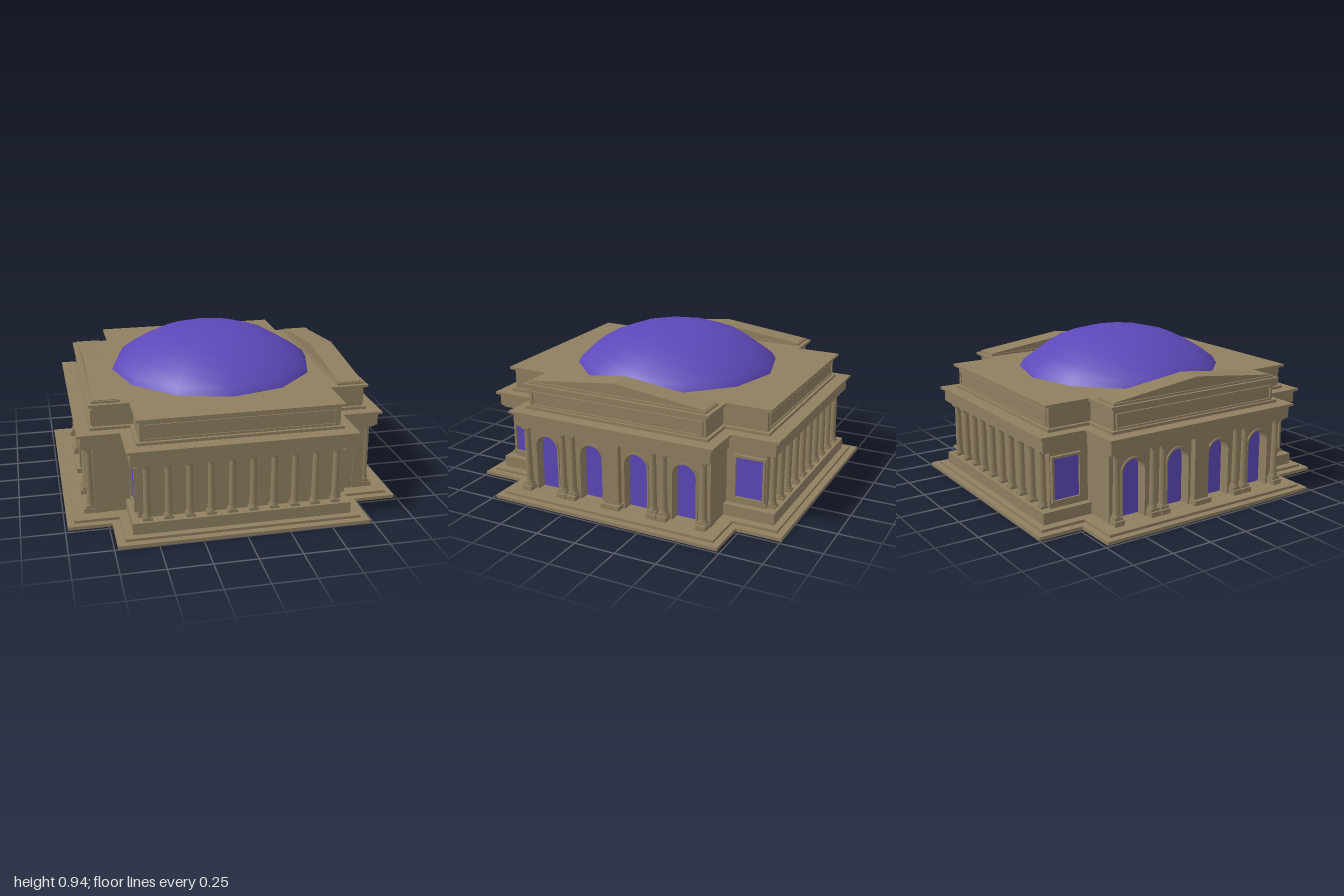
import * as THREE from 'three';

const stone = new THREE.MeshStandardMaterial({ color: 0x8f7f60 });
stone.name = 'stone';
const violet = new THREE.MeshStandardMaterial({ color: 0x5c48b8 });
violet.name = 'violet';

function add(parent, name, geometry, material = stone, x = 0, y = 0, z = 0) {
  const mesh = new THREE.Mesh(geometry, material);
  mesh.name = name;
  mesh.position.set(x, y, z);
  parent.add(mesh);
  return mesh;
}

// Box given by its centre in x and z and its bottom and top heights
function block(parent, name, w, d, y0, y1, x, z, material = stone) {
  return add(parent, name, new THREE.BoxGeometry(w, y1 - y0, d), material, x, (y0 + y1) / 2, z);
}

// Cross-shaped slab: the x wing reaches X by wz, the z wing reaches Z by wx
function crossSlab(parent, name, X, wz, wx, Z, y0, y1) {
  const q = [[X, -wz], [X, wz], [wx, wz], [wx, Z], [-wx, Z], [-wx, wz],
    [-X, wz], [-X, -wz], [-wx, -wz], [-wx, -Z], [wx, -Z], [wx, -wz]];
  const shape = new THREE.Shape(q.map(([x, z]) => new THREE.Vector2(x, z)));
  const g = new THREE.ExtrudeGeometry(shape, { depth: y1 - y0, bevelEnabled: false });
  g.rotateX(-Math.PI / 2);
  return add(parent, name, g, stone, 0, y0, 0);
}

// Tapered round column with square plinth and capital
function column(parent, x, z, y0, y1) {
  const g = new THREE.Group();
  g.name = 'column';
  parent.add(g);
  block(g, 'plinth', 0.054, 0.054, y0, y0 + 0.016, x, z);
  const h = y1 - y0;
  const profile = [[0.026, 0.016], [0.026, 0.028], [0.021, 0.036], [0.018, h - 0.03], [0.025, h - 0.014]]
    .map(([r, y]) => new THREE.Vector2(r, y));
  add(g, 'shaft', new THREE.LatheGeometry(profile, 12), stone, x, y0, z);
  block(g, 'capital', 0.054, 0.054, y1 - 0.014, y1, x, z);
}

function rectPath(w, y0, y1, Type) {
  return new Type([[-w, y0], [w, y0], [w, y1], [-w, y1]].map(([x, y]) => new THREE.Vector2(x, y)));
}

function archPath(x, r, y0, top, Type) {
  const p = new Type();
  p.moveTo(x - r, y0);
  p.lineTo(x + r, y0);
  p.lineTo(x + r, top - r);
  p.absarc(x, top - r, r, 0, Math.PI, false);
  p.lineTo(x - r, y0);
  return p;
}

function extrude(shape, depth) {
  return new THREE.ExtrudeGeometry(shape, { depth, bevelEnabled: false, curveSegments: 12 });
}

// Rectangular frame facing +z
function frame(parent, name, w, y0, y1, border, x, z, depth) {
  const shape = rectPath(w, y0, y1, THREE.Shape);
  shape.holes.push(rectPath(w - border, y0 + border, y1 - border, THREE.Path));
  return add(parent, name, extrude(shape, depth), stone, x, 0, z);
}

// Facade with ten columns, facing +z
function colonnade(parent) {
  const g = new THREE.Group();
  g.name = 'colonnade';
  parent.add(g);
  block(g, 'pedestal', 1.27, 0.34, 0.035, 0.105, 0, 0.75);
  block(g, 'wall', 1.19, 0.355, 0.105, 0.45, 0, 0.6775);
  for (let i = 0; i < 10; i++) column(g, (i - 4.5) * 0.122, 0.875, 0.105, 0.445);
  frame(g, 'atticPanel', 0.55, 0.57, 0.66, 0.008, 0, 0.84, 0.008);
  return g;
}

// Facade with four arched openings, facing +z
function arcade(parent) {
  const g = new THREE.Group();
  g.name = 'arcade';
  parent.add(g);
  const centres = [-0.455, -0.148, 0.148, 0.455];
  const wall = rectPath(0.615, 0.035, 0.45, THREE.Shape);
  for (const x of centres) wall.holes.push(archPath(x, 0.074, 0.036, 0.39, THREE.Path));
  add(g, 'archedWall', extrude(wall, 0.065), stone, 0, 0, 0.755);
  block(g, 'innerWall', 1.22, 0.25, 0.035, 0.45, 0, 0.63);
  for (const x of centres) {
    add(g, 'archGlass', extrude(archPath(x, 0.074, 0.036, 0.39, THREE.Shape), 0.006), violet, 0, 0, 0.756);
    const trim = archPath(x, 0.084, 0.036, 0.4, THREE.Shape);
    trim.holes.push(archPath(x, 0.0735, 0.037, 0.389, THREE.Path));
    add(g, 'archTrim', extrude(trim, 0.01), stone, 0, 0, 0.819);
  }
  // Single end columns, paired columns and the broad middle pier
  for (const s of [-1, 1]) for (const x of [0.58, 0.335, 0.268]) {
    block(g, 'columnBase', 0.062, 0.07, 0.035, 0.065, s * x, 0.845);
    column(g, s * x, 0.84, 0.065, 0.445);
  }
  block(g, 'middlePierBase', 0.12, 0.07, 0.035, 0.065, 0, 0.845);
  block(g, 'middlePier', 0.1, 0.04, 0.065, 0.43, 0, 0.838);
  block(g, 'middlePierCapital', 0.116, 0.05, 0.43, 0.45, 0, 0.84);
  frame(g, 'atticPanel', 0.56, 0.565, 0.655, 0.01, 0, 0.8, 0.016);

  // Windows on the shoulders beside the arcade
  for (const s of [-1, 1]) {
    frame(g, 'windowFrame', 0.095, 0.14, 0.41, 0.014, s * 0.755, 0.594, 0.022);
    block(g, 'windowGlass', 0.166, 0.006, 0.154, 0.396, s * 0.755, 0.6, violet);
  }

  // Low gable on the roof
  block(g, 'gableBase', 1.15, 0.165, 0.7, 0.712, 0, 0.7275);
  const gable = new THREE.Shape();
  gable.moveTo(-0.565, 0.71);
  gable.lineTo(0.565, 0.71);
  gable.lineTo(0.565, 0.716);
  gable.lineTo(0, 0.783);
  gable.lineTo(-0.565, 0.716);
  add(g, 'gable', extrude(gable, 0.145), stone, 0, 0, 0.655);
  return g;
}

export function createModel() {
  const model = new THREE.Group();
  model.name = 'domedHall';

  // Steps
  crossSlab(model, 'lowerStep', 0.985, 0.73, 0.73, 1.0, 0, 0.02);
  crossSlab(model, 'upperStep', 0.945, 0.69, 0.685, 0.96, 0.02, 0.036);

  // Four facades
  for (const turn of [0, Math.PI]) {
    colonnade(model).rotation.y = turn;
    arcade(model).rotation.y = turn + Math.PI / 2;
  }

  // Entablature and attic
  crossSlab(model, 'architrave', 0.87, 0.63, 0.63, 0.905, 0.443, 0.455);
  crossSlab(model, 'entablature', 0.885, 0.64, 0.64, 0.92, 0.455, 0.53);
  crossSlab(model, 'mainCornice', 0.905, 0.66, 0.66, 0.94, 0.53, 0.545);
  crossSlab(model, 'atticFoot', 0.825, 0.595, 0.595, 0.86, 0.545, 0.562);
  crossSlab(model, 'attic', 0.805, 0.575, 0.575, 0.842, 0.562, 0.685);
  crossSlab(model, 'atticCornice', 0.828, 0.6, 0.595, 0.87, 0.685, 0.7);

  // Shallow twelve-sided dome
  const dome = [[0.627, 0.7], [0.602, 0.742], [0.52, 0.803], [0.42, 0.862], [0.31, 0.905],
    [0.2, 0.933], [0.09, 0.943], [0, 0.944]].map(([r, y]) => new THREE.Vector2(r, y));
  add(model, 'dome', new THREE.LatheGeometry(dome, 12), violet);
  return model;
}
